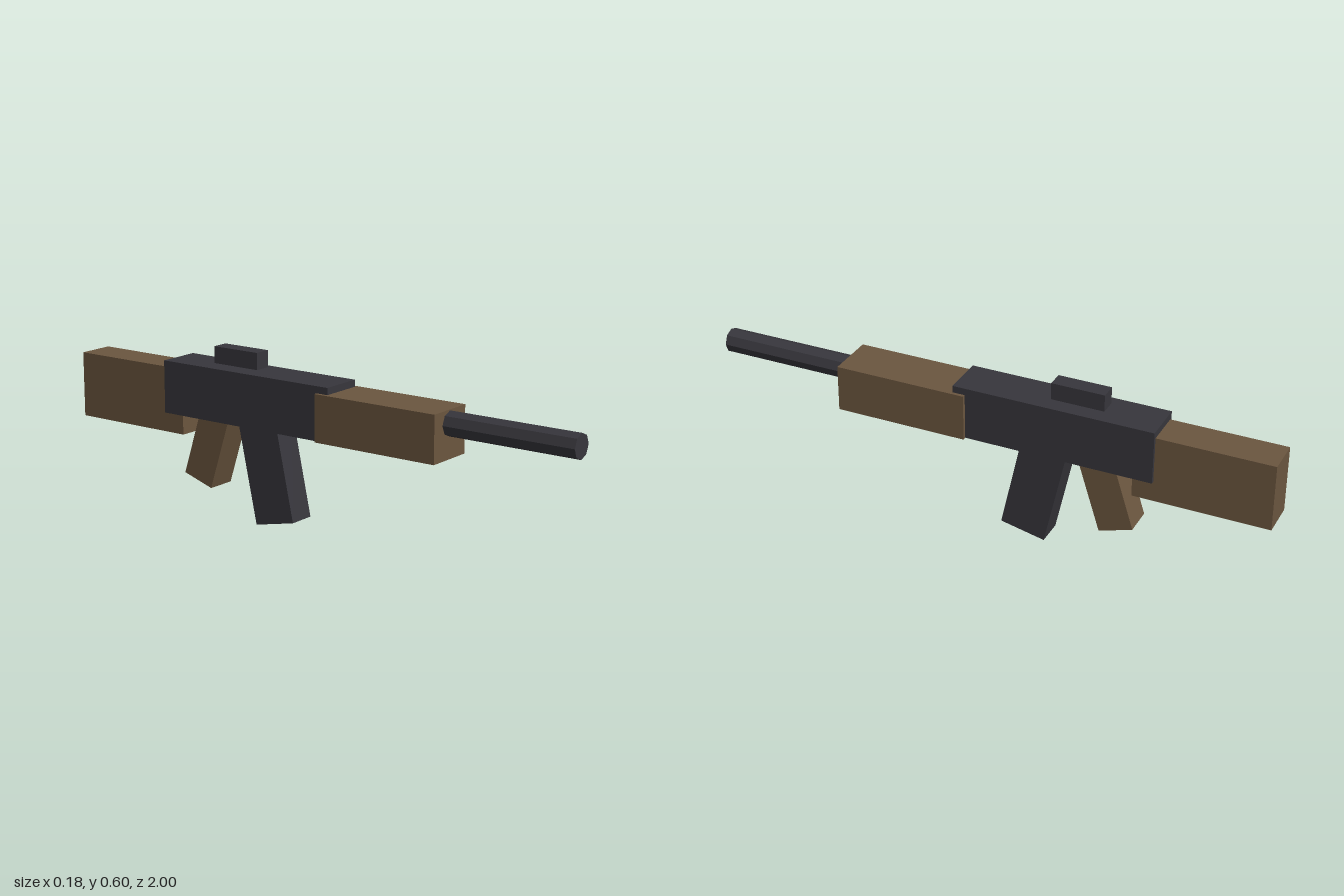
import * as THREE from 'three';

export function createModel() {
  const group = new THREE.Group();
  const wood = new THREE.MeshStandardMaterial({ color: 0x6b563f, flatShading: true });
  wood.name = 'brown wood';
  const metal = new THREE.MeshStandardMaterial({ color: 0x37363c, flatShading: true });
  metal.name = 'dark metal';

  function add(name, geometry, material, y, z, tilt = 0) {
    const mesh = new THREE.Mesh(geometry, material);
    mesh.name = name;
    mesh.position.set(0, y, z);
    mesh.rotation.x = tilt;
    group.add(mesh);
  }

  // Upright block given by its width and its y and z limits
  function block(name, material, width, y0, y1, z0, z1) {
    const geometry = new THREE.BoxGeometry(width, y1 - y0, z1 - z0);
    add(name, geometry, material, (y0 + y1) / 2, (z0 + z1) / 2);
  }

  // Body, from back to front
  block('stock', wood, 0.13, 0.275, 0.508, -1, -0.53);
  block('receiver', metal, 0.153, 0.346, 0.532, -0.602, 0.103);
  block('sight', metal, 0.059, 0.539, 0.598, -0.413, -0.227);
  block('handguard', wood, 0.177, 0.345, 0.508, 0.059, 0.528);

  // Eight-sided barrel
  add('barrel', new THREE.CylinderGeometry(0.0425, 0.0425, 0.55, 8), metal, 0.4625, 0.725, Math.PI / 2);

  // Tilted blocks under the receiver, their tops sunk into it
  add('magazine', new THREE.BoxGeometry(0.098, 0.38, 0.161), metal, 0.204, -0.18, -0.212);
  add('grip', new THREE.BoxGeometry(0.106, 0.3, 0.1235), wood, 0.26, -0.43, 0.31);

  return group;
}
